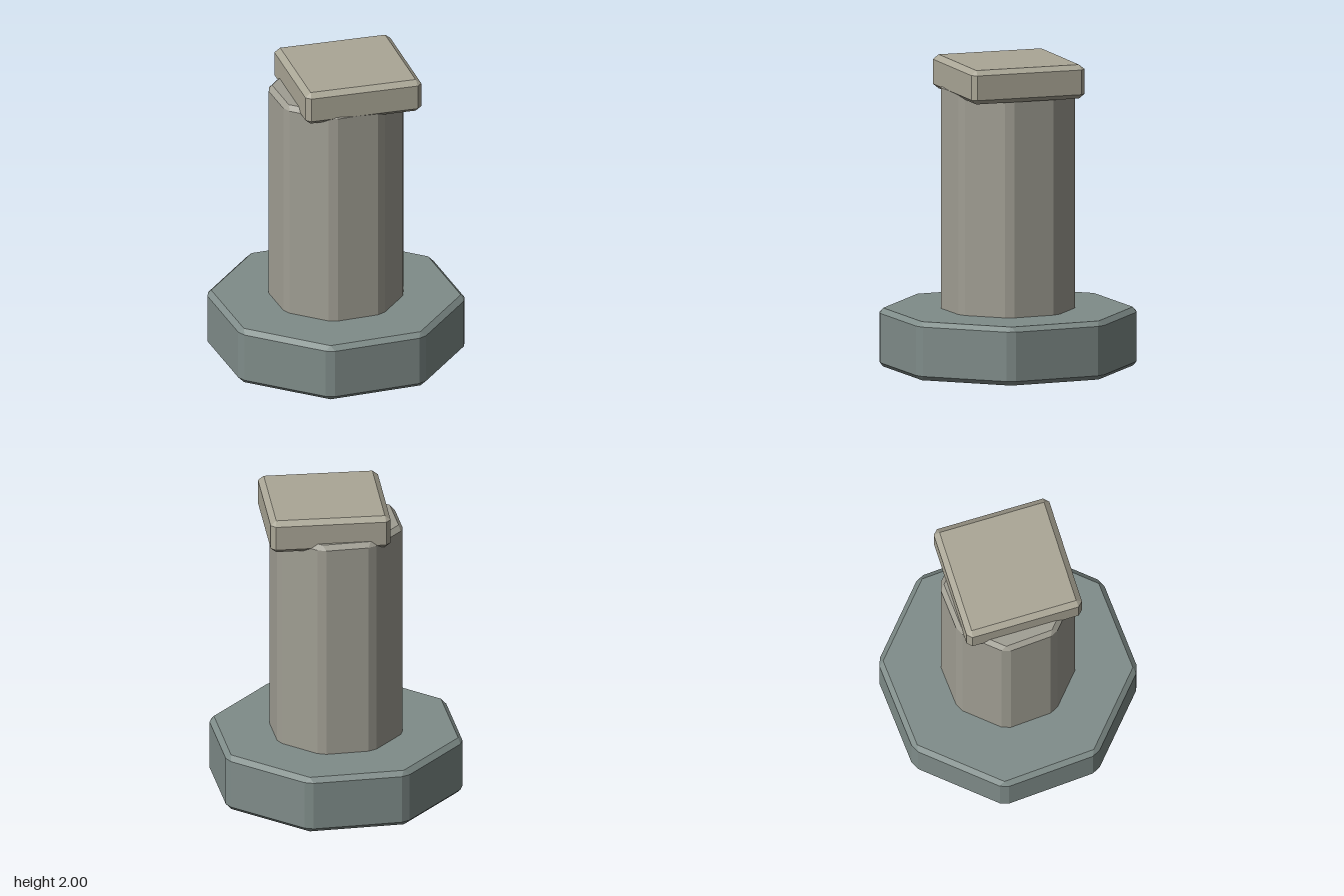
import * as THREE from 'three';

// Prism with chamfered vertical corners and bevelled rims, built from four cross-sections.
// inner: corner radius of the flat ends; outer / half: radius and half width of the corner chamfer
function bevelledPrism({ sides, inner, outer, half, y0, y1, bevel, turn = 0 }) {
  const section = (r, w, y) => {
    const points = [];
    for (let i = 0; i < sides; i++) {
      const a = turn + (i / sides) * Math.PI * 2;
      for (const s of [-w, w]) {
        points.push([r * Math.cos(a) - s * Math.sin(a), y, r * Math.sin(a) + s * Math.cos(a)]);
      }
    }
    return points;
  };
  const rings = [
    section(inner, 0, y0),
    section(outer, half, y0 + bevel),
    section(outer, half, y1 - bevel),
    section(inner, 0, y1),
  ];
  const n = sides * 2;
  const positions = [];
  const tri = (a, b, c) => {
    if (a.join() !== b.join() && b.join() !== c.join() && c.join() !== a.join()) positions.push(...a, ...b, ...c);
  };
  for (let i = 0; i < n; i++) {
    const j = (i + 1) % n;
    for (let k = 0; k < 3; k++) {
      const lo = rings[k], hi = rings[k + 1];
      tri(lo[i], hi[i], lo[j]);
      tri(lo[j], hi[i], hi[j]);
    }
    // flat ends
    tri([0, y1, 0], rings[3][j], rings[3][i]);
    tri([0, y0, 0], rings[0][i], rings[0][j]);
  }
  const geometry = new THREE.BufferGeometry();
  geometry.setAttribute('position', new THREE.Float32BufferAttribute(positions, 3));
  geometry.computeVertexNormals();
  return geometry;
}

export function createModel() {
  const group = new THREE.Group();
  const add = (name, color, options) => {
    const material = new THREE.MeshStandardMaterial({ color, flatShading: true });
    const mesh = new THREE.Mesh(bevelledPrism(options), material);
    mesh.name = name;
    group.add(mesh);
    return mesh;
  };

  // Wide octagonal foot
  add('base', 0x7f8c89, { sides: 8, inner: 0.8, outer: 0.822, half: 0.03, y0: 0, y1: 0.38, bevel: 0.03 });

  // Octagonal shaft, sunk slightly into the foot and the cap
  add('column', 0xa09e93, { sides: 8, inner: 0.41, outer: 0.43, half: 0.03, y0: 0.34, y1: 1.84, bevel: 0.03 });

  // Square slab, twisted and shifted off centre
  const cap = add('capSlab', 0xaaa696, {
    sides: 4, inner: 0.495, outer: 0.525, half: 0.022, y0: 1.78, y1: 2, bevel: 0.03,
    turn: THREE.MathUtils.degToRad(26.3),
  });
  cap.position.set(0.076, 0, -0.003);

  return group;
}
